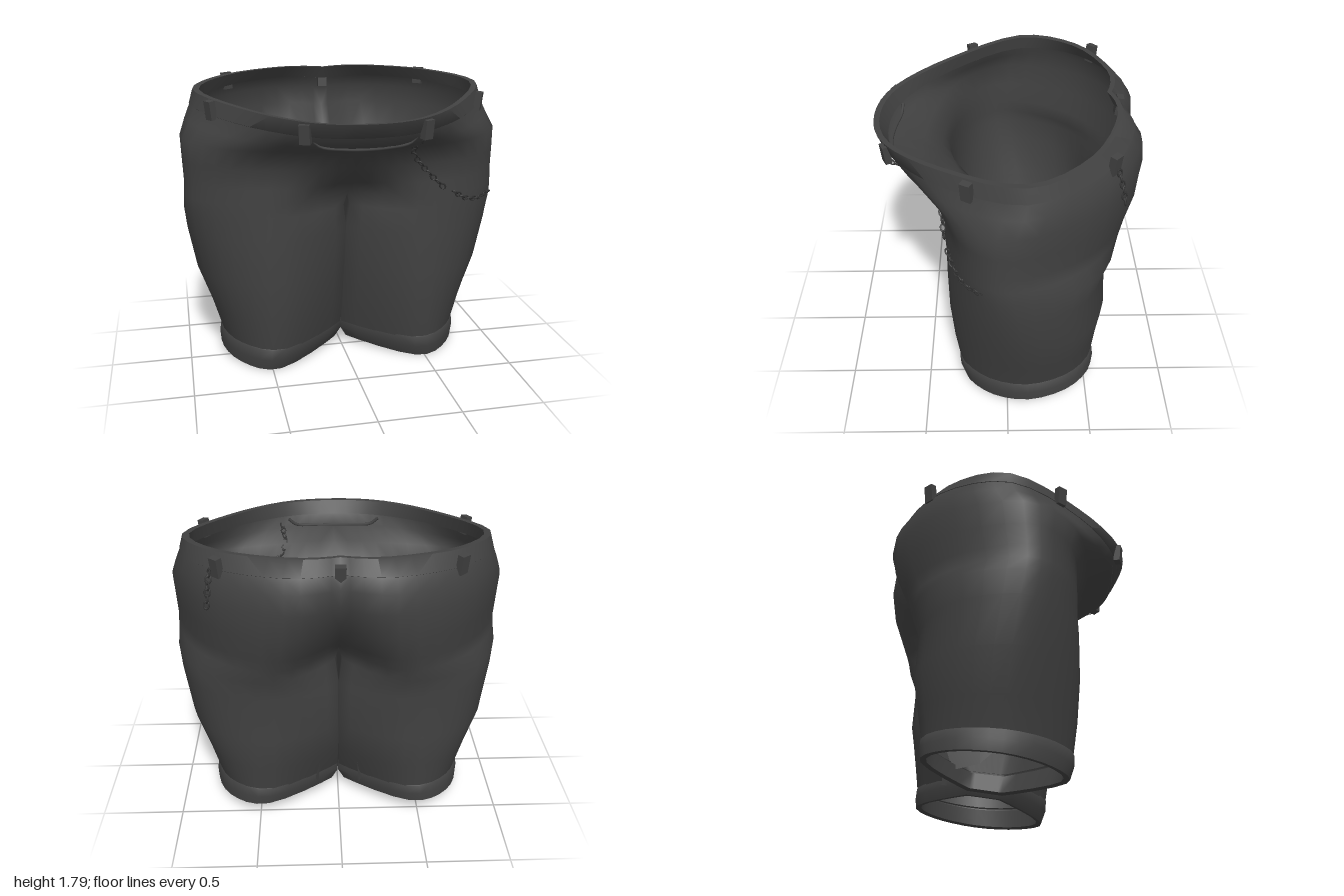
import * as THREE from 'three';
import { mergeGeometries, mergeVertices, toCreasedNormals } from 'three/addons/utils/BufferGeometryUtils.js';

const OUTER = 24, INNER = 8;
const V = (x, y, z) => new THREE.Vector3(x, y, z);

// Cross-sections of one half, waist to hem:
// y, tilt, inner x, front centre z, front x, front z, corner fullness, width, side z, back x, back z, back centre z
const ROWS = [
  [1.72, 0.10, 0, 0.77, 0.34, 0.68, 0.58, 0.895, -0.1, 0.28, -0.64, -0.61],
  [1.64, 0.10, 0, 0.73, 0.34, 0.65, 0.60, 0.92, -0.1, 0.30, -0.71, -0.66],
  [1.56, 0.10, 0, 0.68, 0.34, 0.60, 0.62, 0.955, -0.08, 0.30, -0.76, -0.69],
  [1.47, 0.06, 0, 0.50, 0.37, 0.46, 0.68, 0.99, -0.04, 0.30, -0.775, -0.68],
  [1.33, 0.03, 0, 0.40, 0.40, 0.38, 0.70, 0.985, -0.03, 0.32, -0.75, -0.58],
  [1.20, 0, 0, 0.29, 0.40, 0.365, 0.70, 0.98, -0.02, 0.34, -0.695, -0.46],
  [1.11, 0, 0, 0.18, 0.40, 0.36, 0.70, 0.985, -0.02, 0.37, -0.66, -0.36],
  [1.03, 0, 0.02, 0.16, 0.40, 0.355, 0.70, 0.99, -0.03, 0.38, -0.635, -0.36],
  [0.88, 0, 0.001, 0.14, 0.42, 0.355, 0.70, 0.975, -0.06, 0.38, -0.585, -0.40],
  [0.60, 0, 0.001, 0.09, 0.42, 0.35, 0.70, 0.925, -0.1, 0.39, -0.60, -0.41],
  [0.35, 0.04, 0.001, 0.03, 0.42, 0.325, 0.70, 0.84, -0.12, 0.40, -0.565, -0.34],
  [0.14, 0.07, 0.004, -0.03, 0.42, 0.29, 0.70, 0.78, -0.12, 0.42, -0.535, -0.24],
];
const CROTCH = 6;

// Outer curve of a section, front centre round the side to back centre
function outerCurve([y, tilt, xi, F, fx, fz, k, w, wz, bx, bz, B], isLeg) {
  const mid = (F + B) / 2, kb = isLeg ? 0.72 : 0.66;
  const p = [
    isLeg ? [xi, mid] : [-fx, fz],
    [xi, F], [fx, fz],
    [fx + k * (w - fx), wz + k * (fz - wz)],
    [w, wz],
    [bx + kb * (w - bx), wz + kb * (bz - wz)],
    [bx, bz], [xi, B],
    [xi, isLeg ? mid : B + 0.1],
  ].map(([x, z]) => V(x, 0, z));
  const curve = new THREE.CatmullRomCurve3(p, false, 'catmullrom', 0.5);
  return Array.from({ length: OUTER + 1 }, (_, i) => {
    const q = curve.getPoint((1 + (6 * i) / OUTER) / 8);
    q.x = i % OUTER ? Math.max(q.x, xi) : xi;
    return V(q.x, y - tilt * q.z, q.z);
  });
}

// Adds the inside of the leg so that the section closes
function closeRing(outer) {
  const ring = outer.slice();
  for (let j = 1; j < INNER; j++) ring.push(outer[OUTER].clone().lerp(outer[0], j / INNER));
  return ring;
}

function loft(rings, closed) {
  const n = rings[0].length, index = [];
  for (let i = 0; i < rings.length - 1; i++) {
    for (let j = 0; j < (closed ? n : n - 1); j++) {
      const k = (j + 1) % n;
      const a = i * n + j, b = a + n, c = (i + 1) * n + k, d = i * n + k;
      index.push(a, b, c, a, c, d);
    }
  }
  const g = new THREE.BufferGeometry().setFromPoints(rings.flat());
  g.setIndex(index);
  return g;
}

function mirrored(g) {
  const m = g.clone().scale(-1, 1, 1), ix = m.index.array;
  for (let i = 0; i < ix.length; i += 3) [ix[i], ix[i + 1]] = [ix[i + 1], ix[i]];
  return m;
}

function bothSides(g) {
  const out = mergeVertices(mergeGeometries([g, mirrored(g)]), 1e-4);
  out.computeVertexNormals();
  return out;
}

export function createModel() {
  const model = new THREE.Group();
  const cloth = new THREE.MeshStandardMaterial({ color: 0x424242, side: THREE.DoubleSide });
  cloth.name = 'charcoalCloth';
  const metal = new THREE.MeshStandardMaterial({ color: 0x333333 });
  metal.name = 'darkMetal';
  const add = (name, geometry, material, parent = model) => {
    const mesh = new THREE.Mesh(geometry, material);
    mesh.name = name;
    parent.add(mesh);
    return mesh;
  };

  // Hips and both legs in one smooth skin
  const curves = ROWS.map((r, i) => outerCurve(r, i > CROTCH));
  const hips = loft(curves.slice(0, CROTCH + 1), false);
  const leg = loft(curves.slice(CROTCH).map(closeRing), true);
  add('shortsBody', bothSides(mergeGeometries([hips, leg])), cloth);

  // Waistband: inner face, rim and outer face
  const scaled = (ring, s, dy = 0) => ring.map((p) => V(p.x * s, p.y + dy, p.z * s));
  const band = loft([
    scaled(curves[1], 0.95), scaled(curves[0], 0.96, 0.003), scaled(curves[0], 1.004, 0.004),
    scaled(curves[1], 1.004), scaled(curves[1], 0.998, -0.004),
  ], false);
  add('waistband', toCreasedNormals(bothSides(band), 0.9), cloth);

  // Turned-up hems: base y, tilt, inner x, outer x, z scale, z shift
  const hemBase = closeRing(curves[curves.length - 1]);
  const hem = loft([
    [0.175, 0.07, 0.004, 0.78, 1.0, 0], [0.165, 0.07, 0.001, 0.79, 1.02, 0], [0.1, 0.09, 0.001, 0.8, 1.02, -0.005],
    [0.03, 0.11, 0.04, 0.795, 0.98, -0.015], [0.036, 0.11, 0.08, 0.755, 0.9, -0.015], [0.15, 0.08, 0.045, 0.755, 0.93, 0],
  ].map(([y, tilt, x0, x1, sz, dz]) => hemBase.map((p) => {
    const z = -0.12 + (p.z + 0.12) * sz + dz;
    return V(THREE.MathUtils.mapLinear(p.x, 0.004, 0.78, x0, x1), y - tilt * z, z);
  })), true);
  add('legHems', toCreasedNormals(bothSides(hem), 0.9), cloth);

  // Sloping lining panels inside the legs
  const lining = loft([
    [V(0.03, 1.08, 0.14), V(0.03, 1.08, 0), V(0.03, 1.08, -0.15), V(0.04, 1.08, -0.3)],
    [V(0.13, 0.8, 0.16), V(0.14, 0.72, 0), V(0.14, 0.65, -0.18), V(0.09, 0.65, -0.38)],
    [V(0.25, 0.5, 0.18), V(0.25, 0.35, 0), V(0.25, 0.16, -0.2), V(0.13, 0.14, -0.4)],
  ], false);
  add('innerLining', bothSides(lining), cloth);

  // Belt loops: position and outward angle
  const loopShape = new THREE.BoxGeometry(0.06, 0.11, 0.04);
  const beltLoop = (x, y, z, angle) => {
    const m = add('beltLoop', loopShape, cloth);
    m.position.set(x, y, z);
    m.rotation.set(0.12, angle, 0, 'YXZ');
  };
  for (const s of [1, -1]) {
    beltLoop(s * 0.34, 1.59, 0.675, s * 0.45);
    beltLoop(s * 0.81, 1.655, 0.21, s * 1.05);
    beltLoop(s * 0.66, 1.715, -0.56, s * (Math.PI - 0.75));
  }
  beltLoop(0, 1.7, -0.66, Math.PI);

  // Piping below the front of the waistband
  const piping = new THREE.CatmullRomCurve3([
    V(-0.3, 1.55, 0.64), V(-0.25, 1.51, 0.645), V(-0.12, 1.495, 0.67), V(0, 1.492, 0.68),
    V(0.12, 1.495, 0.67), V(0.25, 1.51, 0.645), V(0.3, 1.55, 0.64),
  ]);
  add('frontPiping', new THREE.TubeGeometry(piping, 24, 0.01, 6), cloth);

  // Hanging chains on the left side
  const link = new THREE.TorusGeometry(0.015, 0.005, 5, 10).scale(1.4, 1, 1);
  const chain = (name, points, count) => {
    const group = new THREE.Group();
    group.name = name;
    const path = new THREE.CatmullRomCurve3(points);
    for (let i = 0; i < count; i++) {
      const t = i / (count - 1), m = add('chainLink', link, metal, group);
      m.position.copy(path.getPointAt(t));
      m.quaternion.setFromUnitVectors(V(1, 0, 0), path.getTangentAt(t));
      m.rotateX(i % 2 ? 0.3 : 1.3);
    }
    model.add(group);
  };
  chain('frontChain', [V(0.35, 1.54, 0.645), V(0.33, 1.42, 0.46), V(0.42, 1.3, 0.385), V(0.55, 1.17, 0.36)], 14);
  chain('thighChain', [V(0.64, 1.12, 0.335), V(0.72, 1.07, 0.3), V(0.83, 1.05, 0.24), V(0.92, 1.06, 0.16)], 11);
  chain('backChain', [V(0.7, 1.69, -0.58), V(0.71, 1.6, -0.605), V(0.72, 1.52, -0.62)], 6);

  return model;
}
